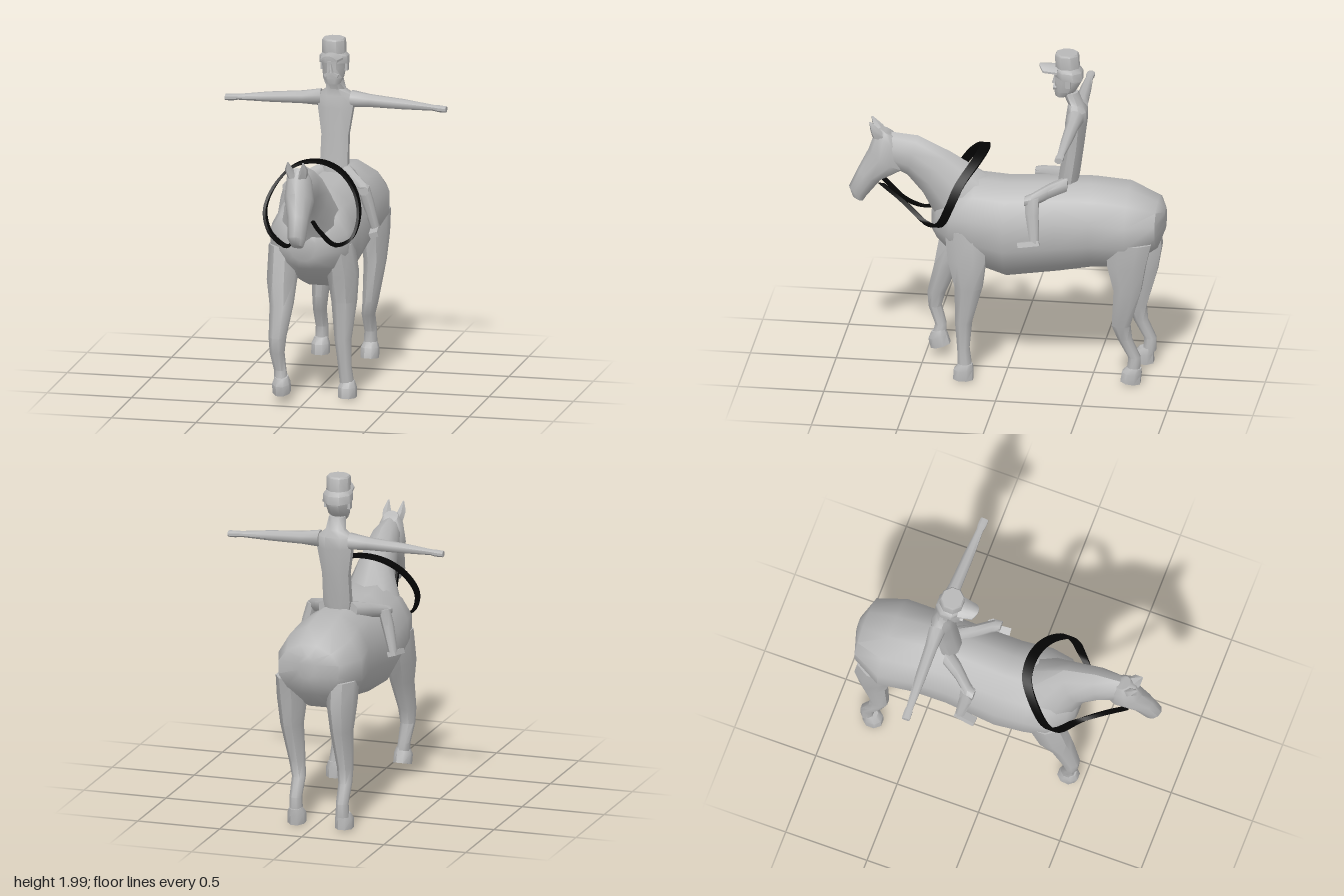
import * as THREE from 'three';
import { toCreasedNormals } from 'three/addons/utils/BufferGeometryUtils.js';

const grey = new THREE.MeshStandardMaterial({ color: 0xb8b8b8 });
grey.name = 'plain grey';
const black = new THREE.MeshStandardMaterial({ color: 0x050505 });
black.name = 'rein black';

// Skin a list of equal rings, cap both ends and make the faces point outward
function skin(rings, crease = 0.85) {
  const n = rings[0].length, pts = rings.flat(), idx = [];
  for (let r = 0; r < rings.length - 1; r++) {
    for (let i = 0; i < n; i++) {
      const a = r * n + i, b = r * n + (i + 1) % n;
      idx.push(a, b, a + n, b, b + n, a + n);
    }
  }
  const last = (rings.length - 1) * n;
  for (let i = 1; i < n - 1; i++) idx.push(0, i + 1, i, last, last + i, last + i + 1);
  let volume = 0;
  for (let i = 0; i < idx.length; i += 3) {
    volume += pts[idx[i]].dot(pts[idx[i + 1]].clone().cross(pts[idx[i + 2]]));
  }
  if (volume < 0) idx.reverse();
  const g = new THREE.BufferGeometry().setFromPoints(pts);
  g.setIndex(idx);
  return toCreasedNormals(g, crease);
}

// Oval ring: centre, half width along x, half depth along an axis tilted from y in the yz plane
function ring([x, y, z, rx, rv, tilt = 0], n) {
  return Array.from({ length: n }, (_, i) => {
    const a = (i + 0.5) / n * Math.PI * 2, v = Math.sin(a) * rv;
    return new THREE.Vector3(x + Math.cos(a) * rx, y + v * Math.cos(tilt), z - v * Math.sin(tilt));
  });
}
const loft = (sections, n = 8) => skin(sections.map(s => ring(s, n)));
const FLAT = Math.PI / 2; // horizontal ring
const flatLoft = (rows, n) => loft(rows.map(r => [...r, FLAT]), n);

export function createModel() {
  const model = new THREE.Group();
  const horse = new THREE.Group(), rider = new THREE.Group();
  horse.name = 'horse';
  rider.name = 'rider';
  model.add(horse, rider);
  const add = (group, name, geometry, material = grey) => {
    const mesh = new THREE.Mesh(geometry, material);
    mesh.name = name;
    group.add(mesh);
    return mesh;
  };

  // Barrel, from rump to chest
  add(horse, 'horseBody', loft([
    [0, 1.0, -0.92, 0.05, 0.07], [0, 0.975, -0.88, 0.19, 0.15], [-0.012, 0.95, -0.71, 0.262, 0.25],
    [0, 0.955, -0.5, 0.245, 0.268], [0.005, 0.935, -0.3, 0.24, 0.285], [0, 0.902, 0, 0.252, 0.3],
    [0.005, 0.94, 0.18, 0.255, 0.275], [0.005, 0.945, 0.31, 0.235, 0.215], [0, 0.94, 0.4, 0.14, 0.14],
    [0, 0.94, 0.435, 0.08, 0.085],
  ], 12));

  // Neck and head, turned a little to the left
  add(horse, 'horseNeck', loft([
    [0, 1.06, 0.26, 0.18, 0.205, 0.84], [0.03, 1.22, 0.41, 0.11, 0.155, 0.54],
    [0.035, 1.32, 0.55, 0.09, 0.128, 0.25], [0.04, 1.345, 0.66, 0.07, 0.115, -0.1],
  ], 10));
  const t = -1.07;
  add(horse, 'horseHead', loft([
    [0.04, 1.46, 0.69, 0.045, 0.05, t], [0.04, 1.41, 0.69, 0.072, 0.09, t],
    [0.042, 1.29, 0.7, 0.085, 0.12, t], [0.058, 1.195, 0.8, 0.062, 0.074, t],
    [0.065, 1.09, 0.865, 0.052, 0.058, t], [0.068, 1.05, 0.865, 0.034, 0.036, t],
  ], 10));
  for (const x of [-0.005, 0.085]) {
    add(horse, 'horseEar', loft([
      [x + (0.04 - x) * 0.4, 1.43, 0.735, 0.034, 0.05, FLAT], [x, 1.48, 0.76, 0.024, 0.032, FLAT],
      [x, 1.53, 0.79, 0.004, 0.006, FLAT],
    ], 5));
  }

  // Legs: horizontal sections from inside the body down to the hoof
  const leg = (name, rows) => add(horse, name, flatLoft(rows, 8));
  leg('frontLeftLeg', [
    [0.165, 0.93, 0.22, 0.085, 0.13], [0.185, 0.75, 0.21, 0.092, 0.118],
    [0.19, 0.58, 0.2, 0.075, 0.085], [0.19, 0.36, 0.23, 0.05, 0.052], [0.2, 0.2, 0.23, 0.04, 0.037],
    [0.21, 0.1, 0.22, 0.042, 0.042],
  ]);
  leg('frontRightLeg', [
    [-0.15, 0.92, 0.26, 0.088, 0.13], [-0.15, 0.72, 0.32, 0.088, 0.11],
    [-0.14, 0.58, 0.375, 0.07, 0.077], [-0.15, 0.4, 0.435, 0.052, 0.057], [-0.15, 0.31, 0.445, 0.044, 0.04],
    [-0.14, 0.2, 0.41, 0.037, 0.034], [-0.13, 0.13, 0.42, 0.042, 0.045],
  ]);
  for (const [name, hip, foot, dz] of [['rearLeftLeg', 0.155, 0.12, 0.02], ['rearRightLeg', -0.165, -0.18, -0.03]]) {
    leg(name, [
      [hip, 0.9, -0.73, 0.085, 0.14], [hip, 0.76, -0.735 + dz, 0.085, 0.12],
      [hip, 0.6, -0.74 + dz, 0.066, 0.085], [(hip + foot) / 2, 0.37, -0.7 + dz, 0.047, 0.057],
      [foot, 0.28, -0.72 + dz, 0.04, 0.043], [foot, 0.17, -0.775 + dz, 0.037, 0.037],
      [foot, 0.09, -0.77 + dz, 0.04, 0.04],
    ]);
  }
  // Hooves
  for (const [x, y, z, tilt] of [[0.215, 0.06, 0.225, 0], [-0.13, 0.115, 0.42, 0.3], [0.12, 0.057, -0.74, -0.12], [-0.18, 0.06, -0.77, 0]]) {
    const hoof = add(horse, 'hoof', flatLoft([
      [0, 0.05, -0.01, 0.04, 0.042], [0, 0.015, 0.002, 0.054, 0.06], [0, -0.045, 0.003, 0.054, 0.062],
    ], 8));
    hoof.position.set(x, y, z);
    hoof.rotation.x = tilt;
  }

  // Reins: flat strap, wide along z, looping back over the neck
  const path = new THREE.CatmullRomCurve3([
    [0.125, 1.17, 0.72], [0.14, 1.08, 0.6], [0.2, 0.965, 0.44], [0.27, 0.99, 0.36], [0.3, 1.11, 0.3], [0.265, 1.24, 0.245],
    [0.16, 1.34, 0.17], [0.03, 1.38, 0.135], [-0.1, 1.36, 0.15], [-0.2, 1.27, 0.23], [-0.25, 1.13, 0.32],
    [-0.21, 1.01, 0.38], [-0.1, 0.95, 0.46], [-0.02, 1.02, 0.6], [0.005, 1.15, 0.72],
  ].map(p => new THREE.Vector3(...p)));
  const zAxis = new THREE.Vector3(0, 0, 1);
  const steps = 70;
  add(horse, 'reins', skin(Array.from({ length: steps + 1 }, (_, i) => {
    const c = path.getPoint(i / steps);
    const side = path.getTangent(i / steps).cross(zAxis).normalize();
    const w = 0.016 + 0.014 * Math.sin(Math.PI * i / steps);
    return [[1, 1], [1, -1], [-1, -1], [-1, 1]].map(([a, b]) =>
      c.clone().addScaledVector(side, a * 0.008).addScaledVector(zAxis, b * w));
  })), black);

  // Rider torso and neck
  add(rider, 'torso', flatLoft([
    [0, 1.18, -0.35, 0.075, 0.06], [0, 1.25, -0.36, 0.088, 0.062], [0, 1.42, -0.385, 0.086, 0.06],
    [0, 1.58, -0.4, 0.112, 0.065], [0, 1.65, -0.405, 0.115, 0.06], [0, 1.69, -0.395, 0.06, 0.044],
    [0, 1.76, -0.365, 0.05, 0.047],
  ], 8));

  // Outstretched arms and astride legs, mirrored
  for (const s of [1, -1]) {
    const arm = add(rider, s > 0 ? 'leftArm' : 'rightArm', loft([
      [0, 1.628, 0.09, 0.05, 0.05], [0, 1.622, 0.2, 0.038, 0.038], [0, 1.613, 0.4, 0.032, 0.03],
      [0, 1.603, 0.58, 0.021, 0.017], [0, 1.6, 0.61, 0.026, 0.02], [0, 1.598, 0.655, 0.025, 0.018],
    ], 8).rotateY(s * (Math.PI / 2 - 0.03)));
    arm.position.z = -0.41;
    add(rider, 'thigh', loft([
      [s * 0.06, 1.2, -0.36, 0.06, 0.052], [s * 0.13, 1.18, -0.26, 0.048, 0.047],
      [s * 0.21, 1.155, -0.17, 0.042, 0.038], [s * 0.225, 1.15, -0.13, 0.032, 0.028],
    ], 8));
    add(rider, 'shin', flatLoft([
      [s * 0.215, 1.17, -0.17, 0.035, 0.044], [s * 0.24, 1.08, -0.175, 0.036, 0.04],
      [s * 0.28, 0.92, -0.195, 0.026, 0.029],
    ], 8));
    const boot = add(rider, 'boot', new THREE.BoxGeometry(0.05, 0.03, 0.125));
    boot.position.set(s * 0.285, 0.908, -0.16);
    boot.rotation.set(0.12, s * 0.12, s * 0.3);
  }

  // Head, nose and moustache
  add(rider, 'head', flatLoft([
    [0, 1.735, -0.315, 0.045, 0.038], [0, 1.77, -0.335, 0.062, 0.066], [0, 1.83, -0.355, 0.07, 0.082],
    [0, 1.87, -0.355, 0.072, 0.084],
  ], 8));
  add(rider, 'nose', new THREE.ConeGeometry(0.015, 0.055, 4)).position.set(0, 1.835, -0.272);
  for (const s of [1, -1]) {
    const half = add(rider, 'moustache', new THREE.BoxGeometry(0.045, 0.016, 0.02));
    half.position.set(s * 0.02, 1.797, -0.278);
    half.rotation.z = -s * 0.45;
    const ear = add(rider, 'ear', new THREE.BoxGeometry(0.02, 0.045, 0.03));
    ear.position.set(s * 0.07, 1.83, -0.36);
  }

  // Cap with rolled band, eight-sided crown and curved peak
  add(rider, 'capBand', loft([
    [0, 1.85, -0.36, 0.088, 0.084, FLAT + 0.12], [0, 1.895, -0.356, 0.088, 0.085, FLAT + 0.08],
    [0, 1.915, -0.35, 0.07, 0.072, FLAT],
  ], 8));
  add(rider, 'capCrown', flatLoft([
    [0, 1.9, -0.35, 0.07, 0.073], [0, 1.99, -0.345, 0.071, 0.072], [0, 2.0, -0.345, 0.064, 0.064],
  ], 8));
  const peak = new THREE.BoxGeometry(0.13, 0.012, 0.11, 6, 1, 3);
  const p = peak.attributes.position;
  for (let i = 0; i < p.count; i++) {
    const x = p.getX(i), front = (p.getZ(i) + 0.055) / 0.11;
    p.setX(i, x * (1 - 0.25 * front));
    p.setY(i, p.getY(i) - 7 * x * x);
    p.setZ(i, p.getZ(i) - 6 * x * x * front);
  }
  peak.computeVertexNormals();
  add(rider, 'capPeak', peak).position.set(0, 1.92, -0.24);

  return model;
}
